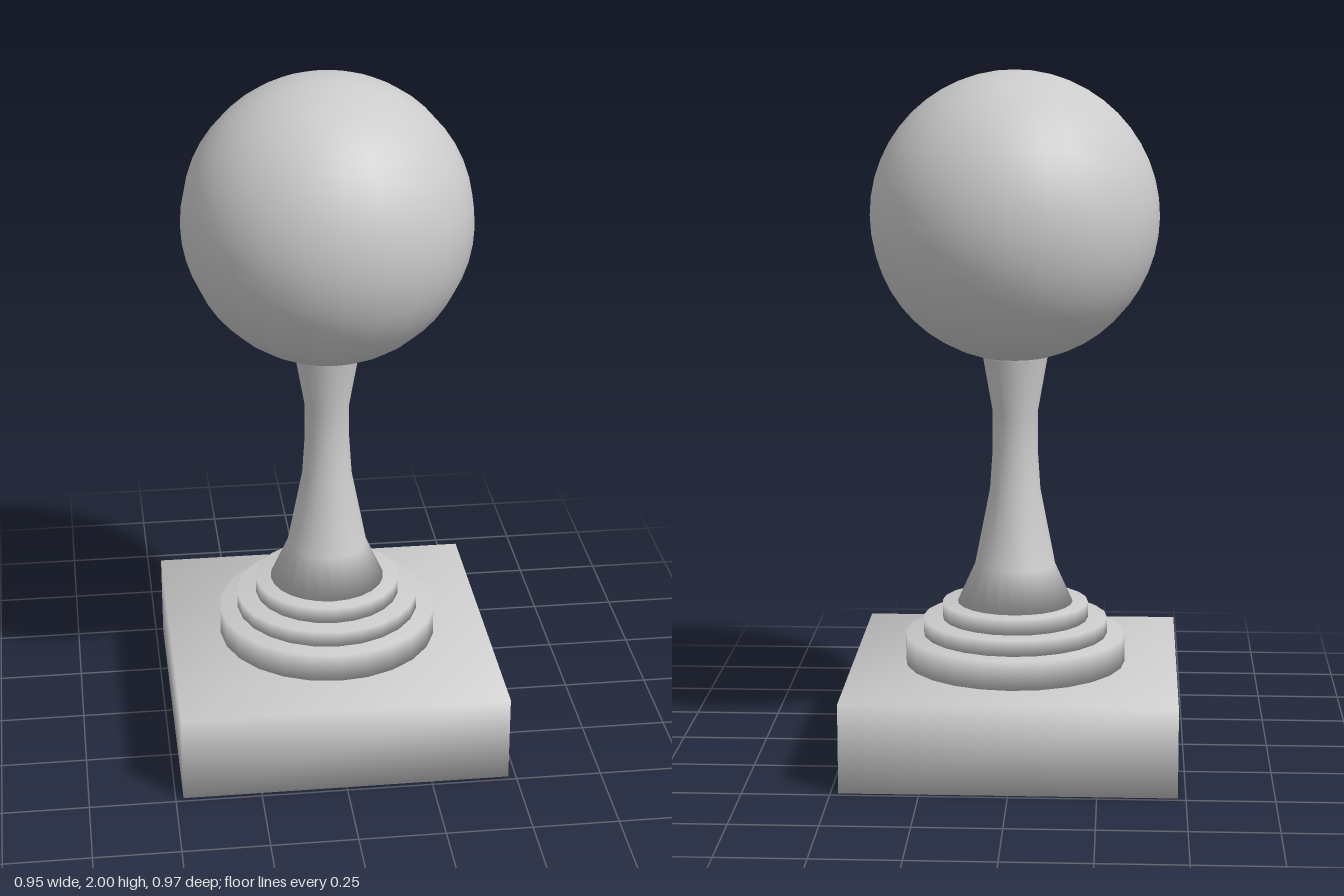
import * as THREE from 'three';
import { mergeVertices } from 'three/addons/utils/BufferGeometryUtils.js';

const SEGMENTS = 24;

export function createModel() {
  const model = new THREE.Group();
  const material = new THREE.MeshStandardMaterial({ color: 0xcccccc });

  const add = (name, geometry, x = 0, y = 0, z = 0) => {
    const mesh = new THREE.Mesh(geometry, material);
    mesh.name = name;
    mesh.position.set(x, y, z);
    model.add(mesh);
  };
  // Turned part from [radius, height] pairs, listed from bottom to top
  const turned = (profile) =>
    new THREE.LatheGeometry(profile.map(([r, y]) => new THREE.Vector2(r, y)), SEGMENTS);

  // Square plinth with normals shared across its corners
  let plinth = new THREE.BoxGeometry(0.955, 0.26, 0.97);
  plinth.deleteAttribute('normal');
  plinth.deleteAttribute('uv');
  plinth = mergeVertices(plinth);
  plinth.computeVertexNormals();
  add('plinth', plinth, 0, 0.13, 0);

  // Three stepped discs
  const tiers = [[0.325, 0.26, 0.345], [0.272, 0.345, 0.392], [0.215, 0.392, 0.44]];
  tiers.forEach(([r, bottom, top], i) =>
    add(`tier${i + 1}`, turned([[0, bottom], [r, bottom], [r, top], [0, top]]), 0, 0, -0.008));

  // Waisted stem, flaring at both ends and closed inside the ball
  add('stem', turned([
    [0, 0.44], [0.17, 0.44], [0.118, 0.555], [0.074, 0.78], [0.066, 0.9],
    [0.066, 1.01], [0.094, 1.17], [0.098, 1.2], [0, 1.2],
  ]), 0, 0, -0.008);

  // Ball on top
  add('ball', new THREE.SphereGeometry(0.418, SEGMENTS, 24), 0.002, 1.582, -0.012);

  return model;
}
